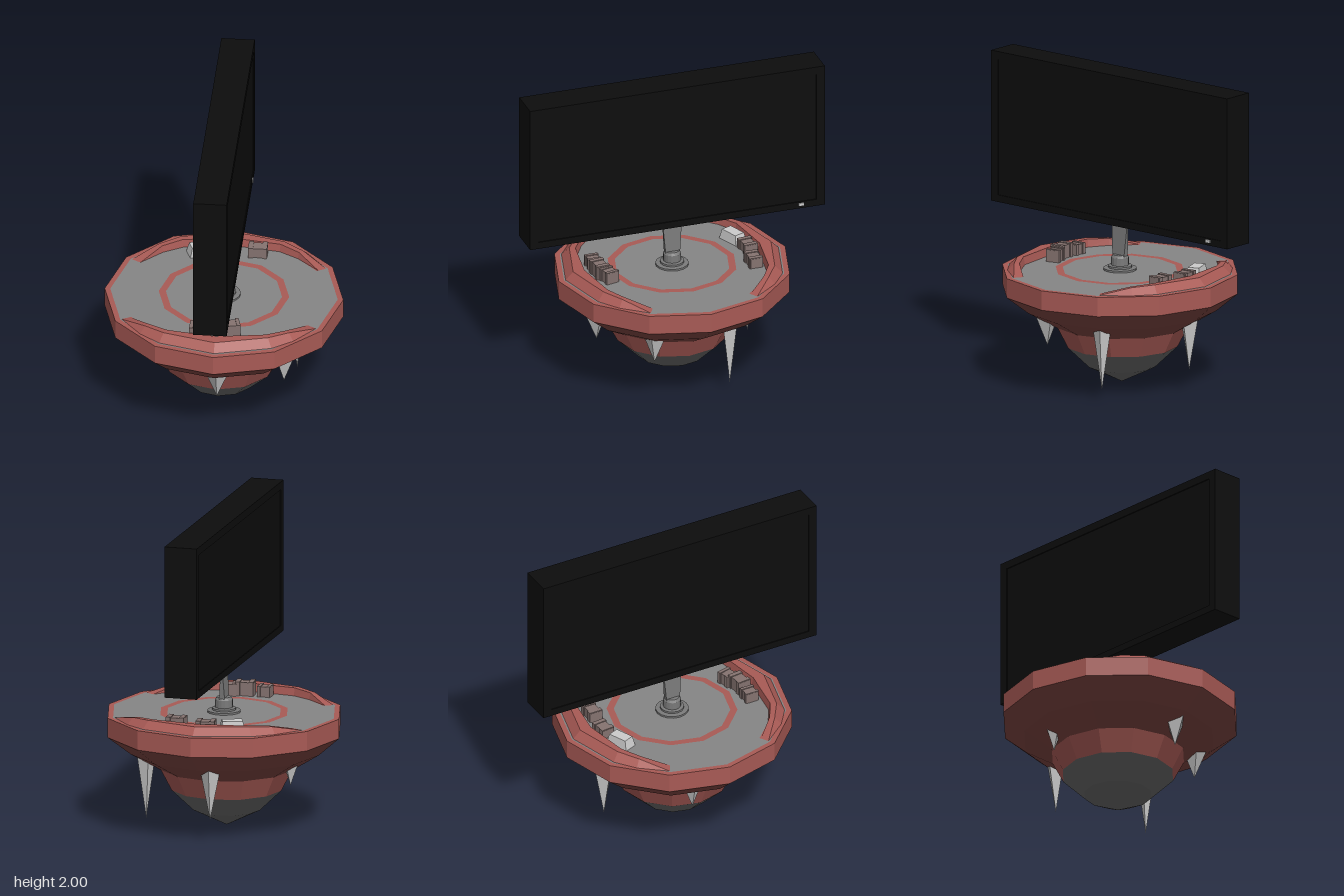
import * as THREE from 'three';

const RED = 0xa85a55, DARK_RED = 0x7d4541, DECK = 0x868686, STONE = 0x686868, METAL = 0x7a7a7a,
  BLACK = 0x0d0d0d, CRATE = 0x857370;

function mesh(name, geometry, color = 0xcccccc) {
  const material = new THREE.MeshStandardMaterial({ color, flatShading: true });
  const m = new THREE.Mesh(geometry, material);
  m.name = name;
  return m;
}

// Twelve-sided surface of revolution, profile listed upward then inward
function band(name, profile, color, sides = 12) {
  const points = profile.map(([r, y]) => new THREE.Vector2(r, y));
  return mesh(name, new THREE.LatheGeometry(points, sides), color);
}

// Raised kerb swept round the front of the deck, ramping down at both ends
function kerbGeometry() {
  const stations = [[30, 0, 0.64], [47, 0.042, 0.62], [60, 0.05, 0.605], [90, 0.05, 0.57],
    [120, 0.05, 0.605], [133, 0.042, 0.62], [150, 0, 0.64]];
  const positions = [], index = [];
  for (const [degrees, h, inner] of stations) {
    const a = THREE.MathUtils.degToRad(degrees);
    const section = [[0.705, 0], [0.705 - h, h], [inner + 0.01, h], [inner, 0]];
    for (const [r, y] of section) positions.push(r * Math.cos(a), 0.726 + y, r * Math.sin(a));
  }
  for (let i = 0; i < stations.length - 1; i++) {
    for (let j = 0; j < 3; j++) {
      const a = i * 4 + j, b = a + 4;
      index.push(a, a + 1, b, b, a + 1, b + 1);
    }
  }
  const g = new THREE.BufferGeometry();
  g.setAttribute('position', new THREE.Float32BufferAttribute(positions, 3));
  g.setIndex(index);
  g.computeVertexNormals();
  return g;
}

// Small ribbed crate
function crate(x, z, turn, length, height, color) {
  const g = new THREE.Group();
  g.name = 'crate';
  const body = mesh('crateBody', new THREE.BoxGeometry(length, height, 0.075), color);
  g.add(body);
  for (const s of [-1, 1]) {
    const rib = mesh('crateRib', new THREE.BoxGeometry(length * 0.25, height + 0.01, 0.09), color);
    rib.position.x = s * length * 0.36;
    g.add(rib);
  }
  g.position.set(x, 0.725 + height / 2, z);
  g.rotation.y = turn;
  return g;
}

export function createModel() {
  const model = new THREE.Group();

  // Floating base: bands from the pointed keel up to the rim
  const lower = [
    band('stoneKeel', [[0, 0], [0.215, 0.105], [0.355, 0.24]], STONE),
    band('lowerRedBand', [[0.355, 0.24], [0.425, 0.375]], RED),
    band('darkHull', [[0.425, 0.375], [0.61, 0.485], [0.75, 0.6]], DARK_RED),
  ];
  for (const part of lower) {
    // The underside leans slightly to one side
    const p = part.geometry.attributes.position;
    for (let i = 0; i < p.count; i++) {
      p.setX(i, p.getX(i) - 0.018 * THREE.MathUtils.clamp((0.6 - p.getY(i)) / 0.225, 0, 1));
    }
    part.geometry.computeVertexNormals();
    model.add(part);
  }
  model.add(
    band('rim', [[0.75, 0.6], [0.75, 0.725], [0.715, 0.725]], RED),
    band('outerDeck', [[0.715, 0.725], [0.41, 0.725]], DECK),
    band('deckRing', [[0.41, 0.725], [0.365, 0.725]], RED),
    band('innerDeck', [[0.365, 0.725], [0, 0.725]], DECK),
  );

  // Kerbs at front and back
  for (const turn of [0, Math.PI]) {
    const kerb = mesh('kerb', kerbGeometry(), RED);
    kerb.rotation.y = turn;
    model.add(kerb);
  }

  // Hanging spikes: x, z, top, tip, half width
  const spikes = [
    [0, 0.5, 0.475, 0.285, 0.08], [0.4, 0.255, 0.49, 0.27, 0.088], [0.44, -0.23, 0.46, 0.065, 0.058],
    [-0.06, -0.52, 0.5, 0.15, 0.07], [-0.465, -0.11, 0.45, 0.305, 0.055],
  ];
  for (const [x, z, top, tip, r] of spikes) {
    const geometry = new THREE.ConeGeometry(r, top - tip, 4).rotateX(Math.PI);
    const spike = mesh('spike', geometry);
    spike.position.set(x, (top + tip) / 2, z);
    spike.rotation.y = Math.atan2(x, z);
    model.add(spike);
  }

  // Stepped foot and flat tapering post
  model.add(band('postFoot', [[0.105, 0.725], [0.105, 0.737], [0.075, 0.74], [0.075, 0.752],
    [0.056, 0.756], [0.056, 0.805], [0.045, 0.822], [0, 0.822]], METAL, 16));
  const postGeometry = new THREE.BoxGeometry(1, 0.23, 1);
  const pp = postGeometry.attributes.position;
  for (let i = 0; i < pp.count; i++) {
    const high = pp.getY(i) > 0;
    pp.setX(i, pp.getX(i) * (high ? 0.008 : 0.036));
    pp.setZ(i, pp.getZ(i) * (high ? 0.13 : 0.095));
  }
  postGeometry.computeVertexNormals();
  const post = mesh('post', postGeometry, METAL);
  post.position.y = 0.925;
  model.add(post);

  // Large screen: frame with a slightly recessed panel on both sides
  const outline = new THREE.Shape();
  outline.moveTo(-0.976, 1.03).lineTo(0.976, 1.03).lineTo(0.976, 2).lineTo(-0.976, 2).closePath();
  const opening = new THREE.Path();
  opening.moveTo(-0.92, 1.075).lineTo(-0.92, 1.95).lineTo(0.92, 1.95).lineTo(0.92, 1.075).closePath();
  outline.holes.push(opening);
  const frameGeometry = new THREE.ExtrudeGeometry(outline, { depth: 0.21, bevelEnabled: false });
  frameGeometry.translate(0, 0, -0.105).rotateY(Math.PI / 2);
  model.add(mesh('screenFrame', frameGeometry, BLACK));
  const panel = mesh('screenPanel', new THREE.BoxGeometry(0.198, 0.9, 1.86), BLACK);
  panel.position.y = 1.512;
  model.add(panel);
  const light = mesh('indicator', new THREE.BoxGeometry(0.012, 0.018, 0.034));
  light.position.set(0.105, 1.058, -0.82);
  model.add(light);

  // Crates along the kerbs
  model.add(
    crate(0.17, -0.48, 0, 0.12, 0.065, CRATE),
    crate(-0.03, -0.51, 0.1, 0.12, 0.06, CRATE),
    crate(-0.13, 0.48, 0, 0.085, 0.065, CRATE),
    crate(0, 0.48, 0.1, 0.12, 0.085, CRATE),
    crate(0.095, 0.45, 0.25, 0.09, 0.075, CRATE),
  );
  const slab = mesh('paleSlab', new THREE.CylinderGeometry(0.06, 0.075, 0.065, 4, 1, false, Math.PI / 4), 0xcccccc);
  slab.scale.set(1.5, 1, 0.85);
  slab.position.set(-0.19, 0.757, -0.47);
  slab.rotation.y = 0.38;
  model.add(slab);

  return model;
}
